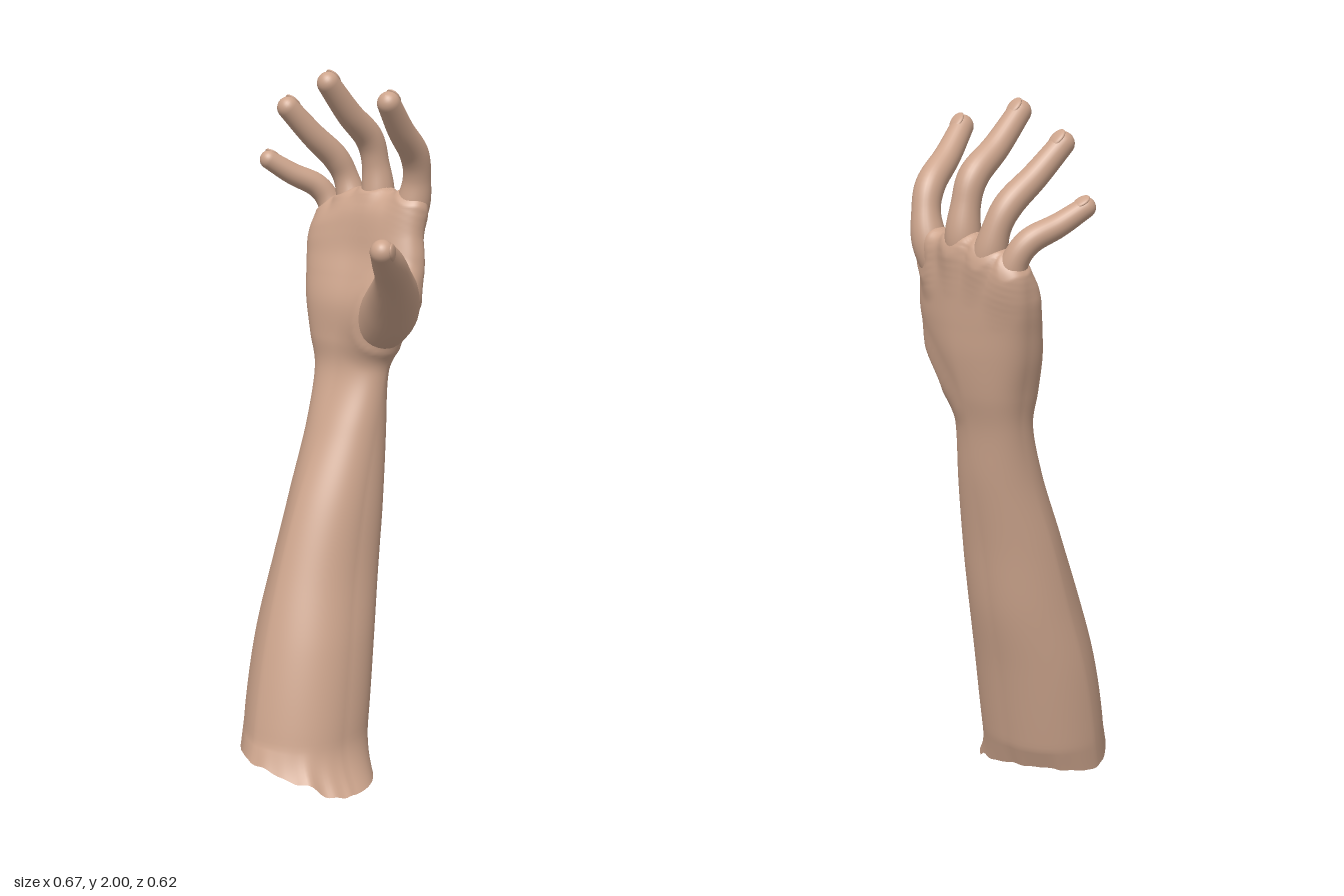
import * as THREE from 'three';

const skin = new THREE.MeshStandardMaterial({ color: 0xcca48c, side: THREE.DoubleSide });
skin.name = 'skin';

const { smoothstep, lerp } = THREE.MathUtils;
const V = (x, y, z) => new THREE.Vector3(x, y, z);
const smoothCurve = (points) => new THREE.CatmullRomCurve3(points, false, 'catmullrom', 0.5);
const signedPower = (v, e) => Math.sign(v) * Math.abs(v) ** e;

// Skins a list of closed rings (each an array of points) with smooth normals
function loft(name, rings) {
  const n = rings[0].length;
  const index = [];
  for (let i = 0; i < rings.length - 1; i++) {
    for (let j = 0; j < n; j++) {
      const a = i * n + j, b = i * n + (j + 1) % n;
      index.push(a, a + n, b, b, a + n, b + n);
    }
  }
  const geometry = new THREE.BufferGeometry().setFromPoints(rings.flat());
  geometry.setIndex(index);
  geometry.computeVertexNormals();
  const mesh = new THREE.Mesh(geometry, skin);
  mesh.name = name;
  return mesh;
}

// Fingers, from inside the palm to the last knuckle pad: [x, y, z, radius]
const digits = {
  indexFinger: [
    [0.07, 1.53, -0.235, 0.040], [0.099, 1.63, -0.253, 0.048], [0.116, 1.71, -0.250, 0.039],
    [0.128, 1.778, -0.222, 0.040], [0.143, 1.845, -0.148, 0.036], [0.161, 1.920, -0.076, 0.031]],
  middleFinger: [
    [-0.03, 1.54, -0.240, 0.040], [-0.033, 1.65, -0.256, 0.048], [-0.037, 1.74, -0.249, 0.039],
    [-0.040, 1.812, -0.223, 0.040], [-0.043, 1.88, -0.145, 0.036], [-0.046, 1.965, -0.064, 0.031]],
  ringFinger: [
    [-0.10, 1.52, -0.240, 0.038], [-0.128, 1.61, -0.255, 0.046], [-0.149, 1.69, -0.248, 0.037],
    [-0.163, 1.75, -0.216, 0.038], [-0.184, 1.815, -0.146, 0.035], [-0.209, 1.893, -0.073, 0.031]],
  littleFinger: [
    [-0.16, 1.47, -0.228, 0.036], [-0.190, 1.56, -0.243, 0.042], [-0.212, 1.62, -0.241, 0.035],
    [-0.235, 1.665, -0.213, 0.034], [-0.270, 1.70, -0.150, 0.031], [-0.305, 1.742, -0.090, 0.027]],
  thumb: [
    [-0.01, 1.22, -0.195, 0.045], [0.045, 1.285, -0.178, 0.073], [0.107, 1.348, -0.151, 0.082],
    [0.175, 1.415, -0.091, 0.068], [0.232, 1.473, -0.022, 0.050], [0.272, 1.525, 0.045, 0.043],
    [0.302, 1.565, 0.104, 0.032]],
};
const digitPath = (keys) => smoothCurve(keys.map(([x, y, z]) => V(x, y, z)));
const digitRadii = (keys) => smoothCurve(keys.map((k, i) => V(k[3], i, 0)));

// Swells the palm around the digit roots so that they flow out of it
function blendRoots(mesh) {
  const balls = Object.entries(digits).flatMap(([name, keys]) => {
    const path = digitPath(keys), radii = digitRadii(keys);
    const reach = name === 'thumb' ? 0.05 : 0.034;
    return Array.from({ length: 30 }, (_, i) => (
      { centre: path.getPoint(i / 29), radius: radii.getPoint(i / 29).x, reach }));
  });
  const { position, normal } = mesh.geometry.attributes;
  const p = V(0, 0, 0), n = V(0, 0, 0);
  for (let i = 0; i < position.count; i++) {
    p.fromBufferAttribute(position, i);
    n.fromBufferAttribute(normal, i);
    let swell = 0;
    for (const { centre, radius, reach } of balls) {
      const gap = Math.max(0, p.distanceTo(centre) - radius);
      if (gap < reach) swell = Math.max(swell, (reach - gap) ** 2 / (3 * reach));
    }
    p.addScaledVector(n, swell);
    position.setXYZ(i, p.x, p.y, p.z);
  }
  mesh.geometry.computeVertexNormals();
}

// Forearm and palm: [y, xMin, xMax, zMin, zMax, squareness]
const armSections = [
  [0.00, -0.180, 0.190, -0.050, 0.310, 2.0],
  [0.20, -0.195, 0.175, -0.090, 0.273, 2.0],
  [0.40, -0.200, 0.150, -0.130, 0.220, 2.0],
  [0.60, -0.190, 0.115, -0.175, 0.150, 2.0],
  [0.80, -0.180, 0.095, -0.207, 0.070, 2.0],
  [1.00, -0.166, 0.076, -0.243, -0.030, 2.1],
  [1.15, -0.170, 0.070, -0.262, -0.098, 2.2],
  [1.25, -0.190, 0.090, -0.283, -0.102, 2.3],
  [1.35, -0.217, 0.145, -0.298, -0.105, 2.3],
  [1.43, -0.233, 0.168, -0.302, -0.125, 2.4],
  [1.49, -0.243, 0.165, -0.303, -0.143, 2.5],
  [1.55, -0.248, 0.153, -0.303, -0.158, 2.6],
  [1.61, -0.242, 0.147, -0.299, -0.178, 2.6],
  [1.645, -0.215, 0.135, -0.288, -0.202, 2.5],
  [1.66, -0.170, 0.110, -0.270, -0.225, 2.3],
  [1.665, -0.050, -0.048, -0.248, -0.246, 2.0],
];

function buildArm() {
  const centres = smoothCurve(armSections.map(([y, x0, x1, z0, z1]) => V((x0 + x1) / 2, y, (z0 + z1) / 2)));
  const sizes = smoothCurve(armSections.map(([, x0, x1, z0, z1, s]) => V((x1 - x0) / 2, (z1 - z0) / 2, s)));
  const rings = [], rows = 160, sides = 112;
  for (let i = 0; i <= rows; i++) {
    const c = centres.getPoint(i / rows), size = sizes.getPoint(i / rows);
    // Muscle fills one back corner of the forearm; the palm leans the other way
    const lean = lerp(0.015, -0.011, smoothstep(c.y, 0.7, 1.3)) * (1 - smoothstep(c.y, 1.58, 1.66));
    const ring = [];
    for (let j = 0; j < sides; j++) {
      const angle = (j / sides) * Math.PI * 2;
      const cos = Math.cos(angle), sin = Math.sin(angle);
      const corner = lean * Math.max(0, -Math.sin(2 * angle));
      const p = V(
        c.x + size.x * signedPower(cos, 2 / size.z) + corner, c.y,
        c.z + size.y * signedPower(sin, 2 / size.z) - corner);
      // Torn lower rim, flared on the thumb side
      const tear = Math.max(0, 1 - c.y / 0.14);
      const jag = (0.007 * Math.sin(angle * 11) + 0.005 * Math.sin(angle * 19 + 1)) * (0.25 + 0.75 * Math.max(0, cos));
      const rim = 0.06 - 0.025 * Math.cos(2 * angle) - 0.014 * cos - 0.036 * Math.max(0, Math.cos(angle + Math.PI / 4));
      p.y += tear * Math.max(0.003, rim + jag);
      p.x += tear * tear * 0.058 * Math.max(0, cos) ** 2;
      // Hollow of the palm
      const hollow = Math.exp(-(((c.y - 1.5) / 0.09) ** 2) - ((p.x + 0.03) / 0.1) ** 2);
      p.z -= 0.012 * hollow * Math.max(0, sin);
      // Knuckle line drops towards the little finger
      p.y += smoothstep(c.y, 1.4, 1.66) * Math.min(0, p.x + 0.08) * 0.3;
      ring.push(p);
    }
    rings.push(ring);
  }
  const arm = loft('forearmAndPalm', rings);
  blendRoots(arm);
  return arm;
}

function buildDigit(name, keys) {
  const group = new THREE.Group();
  group.name = name;
  const path = digitPath(keys), radii = digitRadii(keys);
  const steps = 40, capSteps = 8, sides = 28;
  const { tangents, normals, binormals } = path.computeFrenetFrames(steps, false);
  const ringAt = (centre, radius, k) => Array.from({ length: sides }, (_, j) => {
    const angle = (j / sides) * Math.PI * 2;
    return centre.clone()
      .addScaledVector(normals[k], radius * Math.cos(angle))
      .addScaledVector(binormals[k], -radius * Math.sin(angle));
  });
  const rings = [];
  for (let i = 0; i <= steps; i++) {
    const u = i / steps;
    rings.push(ringAt(path.getPointAt(u), radii.getPoint(path.getUtoTmapping(u)).x, i));
  }
  // Rounded fingertip
  const end = path.getPointAt(1), tangent = tangents[steps], tipRadius = keys[keys.length - 1][3];
  for (let i = 1; i <= capSteps; i++) {
    const a = (i / capSteps) * Math.PI / 2;
    const centre = end.clone().addScaledVector(tangent, tipRadius * Math.sin(a));
    rings.push(ringAt(centre, Math.max(0.0005, tipRadius * Math.cos(a)), steps));
  }
  group.add(loft(name + 'Flesh', rings));

  // Fingernail lying on the back of the tip
  const hint = name === 'thumb' ? V(1, 0, -0.6) : V(0, 1, -1);
  const back = hint.addScaledVector(tangent, -hint.dot(tangent)).normalize();
  const side = back.clone().cross(tangent);
  const nail = new THREE.Mesh(new THREE.SphereGeometry(1, 20, 12), skin);
  nail.name = name + 'Nail';
  nail.scale.set(tipRadius * 0.68, tipRadius * 0.24, tipRadius * 0.9);
  nail.quaternion.setFromRotationMatrix(new THREE.Matrix4().makeBasis(side, back, tangent));
  nail.position.copy(end).addScaledVector(back, tipRadius * 0.82).addScaledVector(tangent, -tipRadius * 0.1);
  group.add(nail);
  return group;
}

export function createModel() {
  const model = new THREE.Group();
  model.name = 'handAndForearm';
  model.add(buildArm());
  for (const [name, keys] of Object.entries(digits)) model.add(buildDigit(name, keys));
  return model;
}
